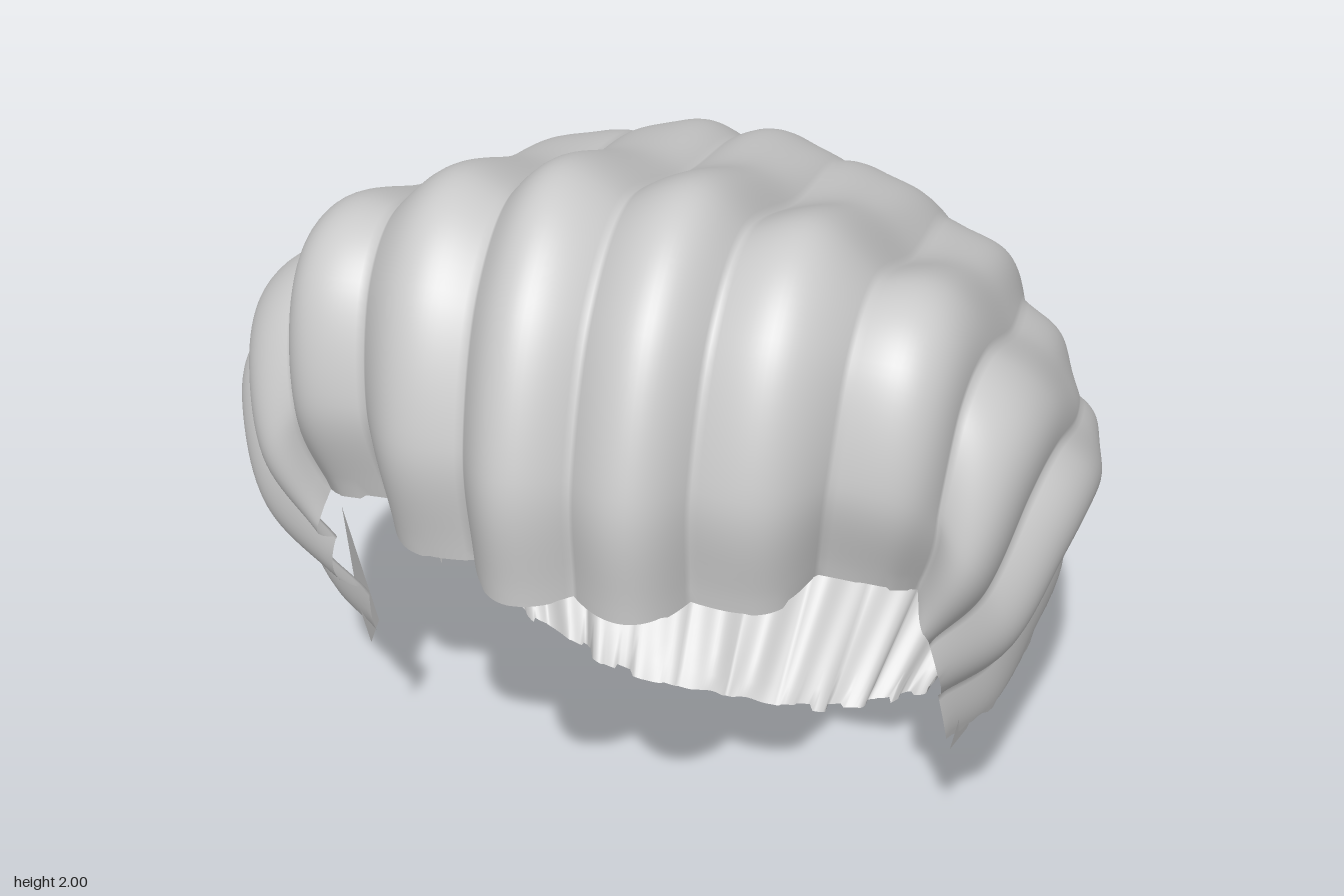
import * as THREE from 'three';

// Stations from fringe over the crown to the nape:
// centre lock z, y; side edge (temple, ear, neck) z, y; width; fringe influence
const STATIONS = [
  [.92, 1.2, .28, .53, 1, 1],
  [.93, 1.52, .28, .66, 1, .65],
  [.77, 1.86, .2, .81, 1, .35],
  [.47, 2, .1, .86, 1, .1],
  [0, 1.81, 0, .86, .98, 0],
  [-.45, 1.65, -.14, .77, .93, 0],
  [-.82, 1.31, -.26, .65, .85, 0],
  [-.93, .86, -.33, .49, .75, 0],
  [-.78, .39, -.37, .34, .62, 0],
  [-.36, -.02, -.34, .25, .5, 0],
];
// Locks from the centre outwards: x, share of the centre profile, the same in y and z at the fringe, taper power
const LOCKS = [
  [.14, 1, 1, 1, 1],
  [.41, .93, 1, .8, 1],
  [.69, .79, 1, .56, 1],
  [.88, .57, .78, .49, 1],
  [.99, .33, .45, .3, .85],
  [.9, 0, 0, 0, .55],
];

const NS = 220; // steps across the locks
const NV = 90;  // steps along the locks
const { lerp, smoothstep } = THREE.MathUtils;
const jag = (n) => { const h = Math.sin(n * 127.1) * 43758.5453; return h - Math.floor(h) - 0.5; };

// Crest line of one lock, blended between the centre profile and the side edge
function lockCurve([x, body, frontY, frontZ, power], side) {
  const points = STATIONS.map(([cz, cy, ez, ey, width, f]) => new THREE.Vector3(
    side * x * width ** power * (1 - 0.28 * f * f * x ** 2.5),
    lerp(ey, cy, lerp(body, frontY, f)),
    lerp(ez, cz, lerp(body, frontZ, f)),
  ));
  return new THREE.CatmullRomCurve3(points, false, 'catmullrom', 0.5);
}

function hairGeometry() {
  const curves = [
    ...LOCKS.map((lock) => lockCurve(lock, -1)).reverse(),
    ...LOCKS.map((lock) => lockCurve(lock, 1)),
  ];
  const last = curves.length - 1;

  // Smooth shell lofted across the lock curves
  const pos = [], index = [];
  for (let j = 0; j <= NV; j++) {
    const across = new THREE.CatmullRomCurve3(curves.map((c) => c.getPoint(j / NV)), false, 'catmullrom', 0.5);
    for (let i = 0; i <= NS; i++) pos.push(...across.getPoint(i / NS).toArray());
  }
  const w = NS + 1;
  for (let j = 0; j < NV; j++) {
    for (let i = 0; i < NS; i++) {
      const a = j * w + i, b = a + w;
      index.push(a, a + 1, b, a + 1, b + 1, b);
    }
  }
  const geo = new THREE.BufferGeometry();
  geo.setAttribute('position', new THREE.Float32BufferAttribute(pos, 3));
  geo.setIndex(index);
  geo.computeVertexNormals();

  // Press creases between the locks, softer to the sides and back, and add faint finer strands
  const p = geo.attributes.position, n = geo.attributes.normal;
  for (let j = 0; j <= NV; j++) {
    const v = j / NV;
    const back = smoothstep(v, 0.25, 0.7);
    for (let i = 0; i <= NS; i++) {
      const s = (i / NS) * last, k = j * w + i;
      const fromCentre = Math.abs(s - last / 2);
      const depth = lerp(lerp(0.075, 0.04, fromCentre / 5.5), 0.015, back);
      const crease = 1 - Math.abs(Math.cos(Math.PI * s));
      const strands = Math.sin(fromCentre * 8 + 3 * Math.sin(v * 6)) * 0.006 * smoothstep(v, 0.1, 0.6);
      const d = strands - depth * crease;
      p.setXYZ(k, p.getX(k) + n.getX(k) * d, p.getY(k) + n.getY(k) * d, p.getZ(k) + n.getZ(k) * d);
    }
  }

  // Ragged tips along the fringe, the nape and around the ears
  for (let i = 0; i <= NS; i++) {
    const nape = NV * w + i;
    p.setY(i, p.getY(i) + jag(Math.floor(i / 6)) * 0.015);
    p.setY(nape, Math.max(0, p.getY(nape) + jag(Math.floor(i / 6) + 300) * 0.035));
  }
  for (let j = 1; j < NV; j++) {
    for (const k of [j * w, j * w + NS]) {
      const r = jag(Math.floor(j / 2) + (k % w) + 50) * (j > NV * 0.55 ? 0.08 : 0.03);
      p.setY(k, p.getY(k) + r);
      p.setZ(k, p.getZ(k) + r * 0.6);
    }
  }
  geo.computeVertexNormals();
  return geo;
}

export function createModel() {
  const model = new THREE.Group();
  model.name = 'hairpiece';
  const material = new THREE.MeshStandardMaterial({ color: 0xcccccc, side: THREE.DoubleSide });
  const hair = new THREE.Mesh(hairGeometry(), material);
  hair.name = 'sweptBackHair';
  model.add(hair);

  // Loose wisps in front of and behind each ear
  const wisps = [
    [[.74, .62, .31], [.82, .82, .19], [.74, .5, .2], [.72, .51, .3]],
    [[.81, .63, -.26], [.77, .5, -.34], [.75, .35, -.25], [.77, .45, -.26]],
  ];
  for (const side of [-1, 1]) {
    for (const corners of wisps) {
      const geo = new THREE.BufferGeometry().setFromPoints(corners.map(([x, y, z]) => new THREE.Vector3(side * x, y, z)));
      geo.setIndex(side > 0 ? [0, 1, 2, 0, 2, 3] : [0, 2, 1, 0, 3, 2]);
      geo.computeVertexNormals();
      const wisp = new THREE.Mesh(geo, material);
      wisp.name = side > 0 ? 'leftWisp' : 'rightWisp';
      model.add(wisp);
    }
  }
  return model;
}
